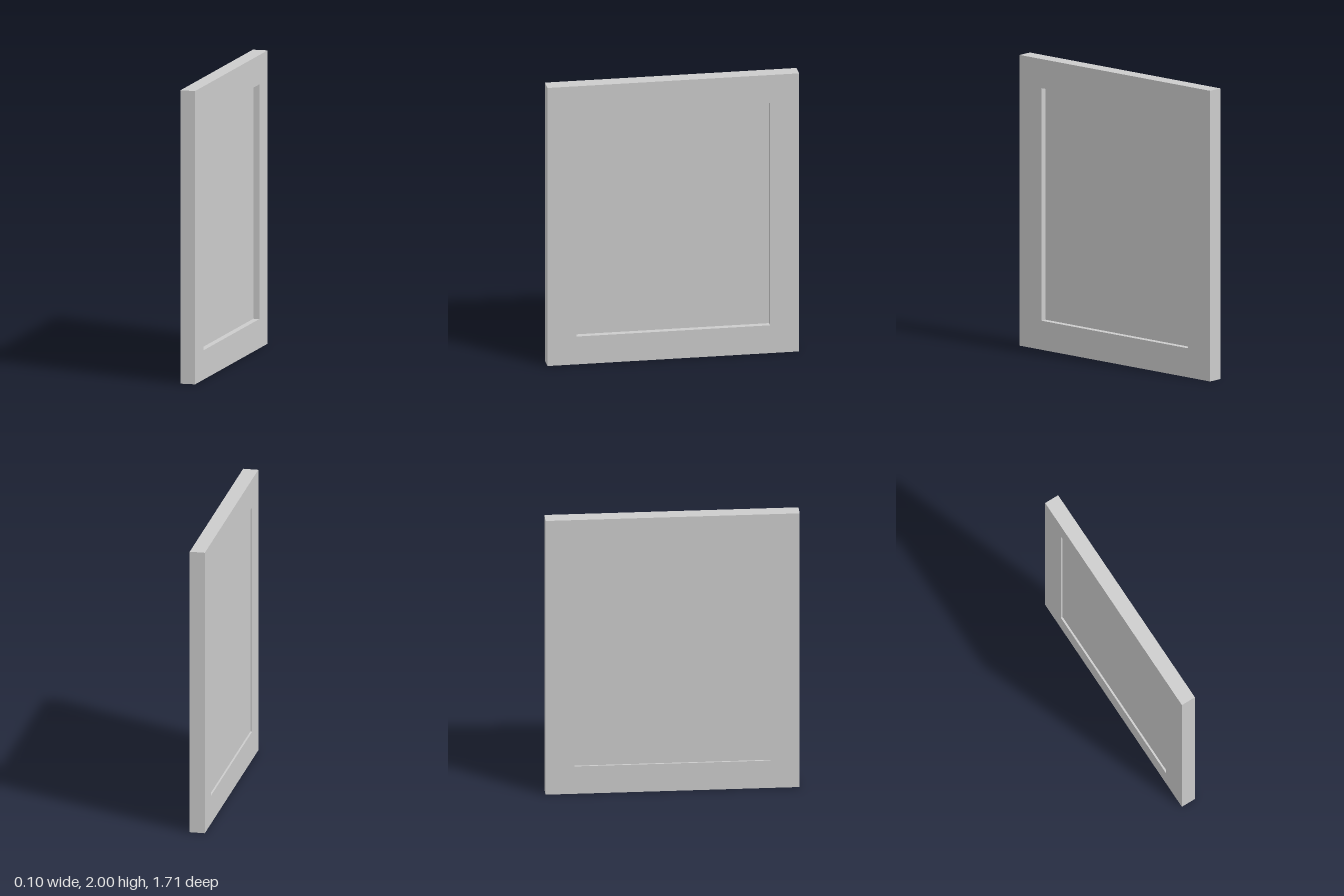
import * as THREE from 'three';

const HEIGHT = 2, WIDTH = 1.714, THICKNESS = 0.104;
const OPEN_HEIGHT = 1.6, OPEN_WIDTH = 1.32;

// Traces a centred rectangle into a shape or path
function rectangle(path, w, h) {
  path.moveTo(-w / 2, -h / 2);
  path.lineTo(w / 2, -h / 2);
  path.lineTo(w / 2, h / 2);
  path.lineTo(-w / 2, h / 2);
  path.closePath();
  return path;
}

export function createModel() {
  const model = new THREE.Group();
  model.name = 'framedPanel';
  const material = new THREE.MeshStandardMaterial({ color: 0xcccccc });

  // Flat border with a rectangular opening, turned to face +x
  const outline = rectangle(new THREE.Shape(), WIDTH, HEIGHT);
  outline.holes.push(rectangle(new THREE.Path(), OPEN_WIDTH, OPEN_HEIGHT));
  const frameGeometry = new THREE.ExtrudeGeometry(outline, { depth: THICKNESS, bevelEnabled: false });
  frameGeometry.translate(0, 0, -THICKNESS / 2);
  frameGeometry.rotateY(Math.PI / 2);
  const frame = new THREE.Mesh(frameGeometry, material);
  frame.name = 'frame';
  frame.position.y = HEIGHT / 2;

  // Inset panel: deep recess on the +x side, shallow on the -x side
  const front = 0.01, back = -0.039;
  const panel = new THREE.Mesh(new THREE.BoxGeometry(front - back, OPEN_HEIGHT, OPEN_WIDTH), material);
  panel.name = 'panel';
  panel.position.set((front + back) / 2, HEIGHT / 2, 0);

  model.add(frame, panel);
  return model;
}
